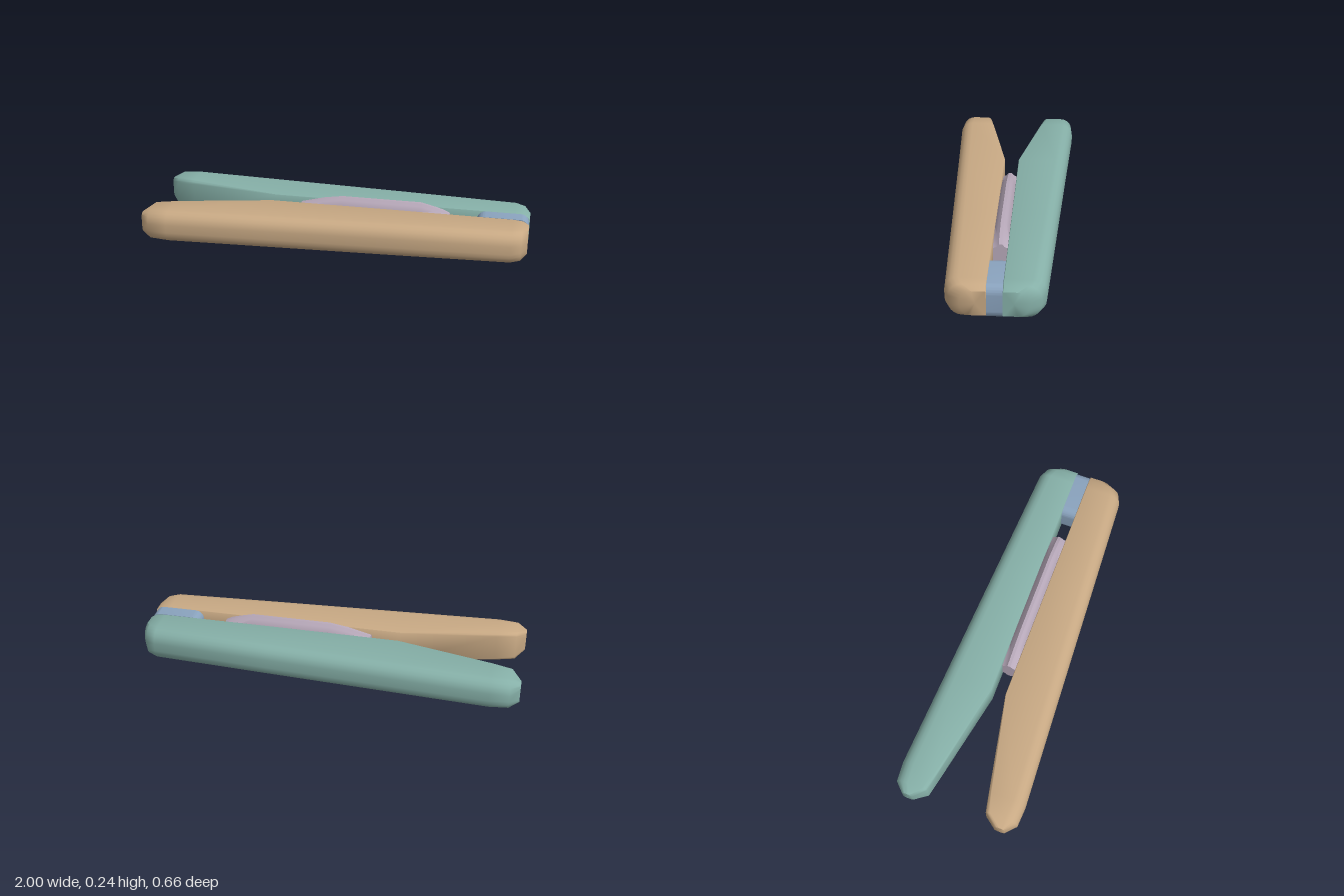
import * as THREE from 'three';
import { toCreasedNormals } from 'three/addons/utils/BufferGeometryUtils.js';

const MID = 0.123; // height of the centre line

// Skin a list of rings [x, [[z, y], ...]] running along x, closed at both ends.
function loft(rings, crease) {
  const n = rings[0][1].length;
  const pos = [], idx = [];
  for (const [x, pts] of rings) for (const [z, y] of pts) pos.push(x, y, z);
  for (let r = 0; r < rings.length - 1; r++) {
    for (let i = 0; i < n; i++) {
      const j = (i + 1) % n;
      const a = r * n + i, b = r * n + j, c = a + n, d = b + n;
      idx.push(a, b, c, b, d, c);
    }
  }
  [0, rings.length - 1].forEach((r, end) => {
    const [x, pts] = rings[r];
    const centre = pos.length / 3;
    pos.push(x, MID, pts.reduce((s, p) => s + p[0], 0) / n);
    for (let i = 0; i < n; i++) {
      const a = r * n + i, b = r * n + (i + 1) % n;
      if (end) idx.push(centre, a, b);
      else idx.push(centre, b, a);
    }
  });
  const g = new THREE.BufferGeometry();
  g.setAttribute('position', new THREE.Float32BufferAttribute(pos, 3));
  g.setIndex(idx);
  return toCreasedNormals(g, crease);
}

// Rounded section of an arm: soft outer corners, tighter inner corners.
function armSection(zi, zo, h, inner, side) {
  const outer = Math.min(0.065, (zo - zi) * 0.45);
  const corners = [
    [zi + inner, h - inner, inner, Math.PI],
    [zo - outer, h - outer, outer, Math.PI / 2],
    [zo - outer, -h + outer, outer, 0],
    [zi + inner, -h + inner, inner, -Math.PI / 2],
  ];
  const pts = [];
  for (const [cz, cy, r, start] of corners) {
    for (let k = 0; k <= 5; k++) {
      const a = start - (k / 5) * Math.PI / 2;
      pts.push([side * (cz + r * Math.cos(a)), MID + cy + r * Math.sin(a)]);
    }
  }
  return side < 0 ? pts.reverse() : pts;
}

// x, inner z, outer z, half height, inner corner radius
const ARM = [
  [-1, 0.22, 0.275, 0.055, 0.02],
  [-0.95, 0.157, 0.325, 0.082, 0.025],
  [-0.85, 0.137, 0.331, 0.086, 0.02],
  [-0.35, 0.038, 0.303, 0.087, 0.004],
  [0.3, 0.038, 0.268, 0.088, 0.004],
  [0.92, 0.038, 0.235, 0.087, 0.004],
  [0.97, 0.038, 0.214, 0.082, 0.004],
  [1, 0.038, 0.16, 0.064, 0.004],
];

// x, half height of the ridge
const PAD = [
  [-0.2, 0.075], [-0.13, 0.093], [-0.08, 0.106], [0.02, 0.122],
  [0.44, 0.122], [0.52, 0.102], [0.56, 0.09], [0.59, 0.075],
];

function padSection(h) {
  const w = 0.037, s = h - Math.min(0.036, h * 0.3);
  const top = [[-w, s], [-0.02, h - 0.014], [-0.008, h], [0.008, h], [0.02, h - 0.014], [w, s]];
  const bottom = top.map(([z, y]) => [-z, -y]);
  return [...top, ...bottom].map(([z, y]) => [z, MID + y]);
}

function hingeGeometry() {
  const x0 = 0.73, x1 = 0.998, y0 = 0.036, y1 = 0.21, r = 0.045;
  const s = new THREE.Shape();
  s.absarc(x1 - r, y0 + r, r, -Math.PI / 2, 0);
  s.absarc(x1 - r, y1 - r, r, 0, Math.PI / 2);
  s.absarc(x0 + r, y1 - r, r, Math.PI / 2, Math.PI);
  s.absarc(x0 + r, y0 + r, r, Math.PI, Math.PI * 1.5);
  const g = new THREE.ExtrudeGeometry(s, { depth: 0.076, bevelEnabled: false, curveSegments: 6 });
  g.translate(0, 0, -0.038);
  return toCreasedNormals(g, 0.7);
}

export function createModel() {
  const material = (name, color) => {
    const m = new THREE.MeshStandardMaterial({ color });
    m.name = name;
    return m;
  };
  const group = new THREE.Group();
  group.name = 'clip';
  const add = (name, geometry, mat) => {
    const mesh = new THREE.Mesh(geometry, mat);
    mesh.name = name;
    group.add(mesh);
  };

  // Two mirrored arms that spread apart towards -x
  const arm = (side) =>
    loft(ARM.map(([x, zi, zo, h, r]) => [x, armSection(zi, zo, h, r, side)]), 0.9);
  add('frontArm', arm(1), material('tan', 0xc8a984));
  add('backArm', arm(-1), material('seaGreen', 0x86b0a8));

  // Ridged pad held between the arms
  add('middlePad', loft(PAD.map(([x, h]) => [x, padSection(h)]), 0.8), material('mauve', 0xb8a9ba));

  // Rounded block joining the arms at the closed end
  add('hingeBlock', hingeGeometry(), material('slateBlue', 0x8aa3be));
  return group;
}
